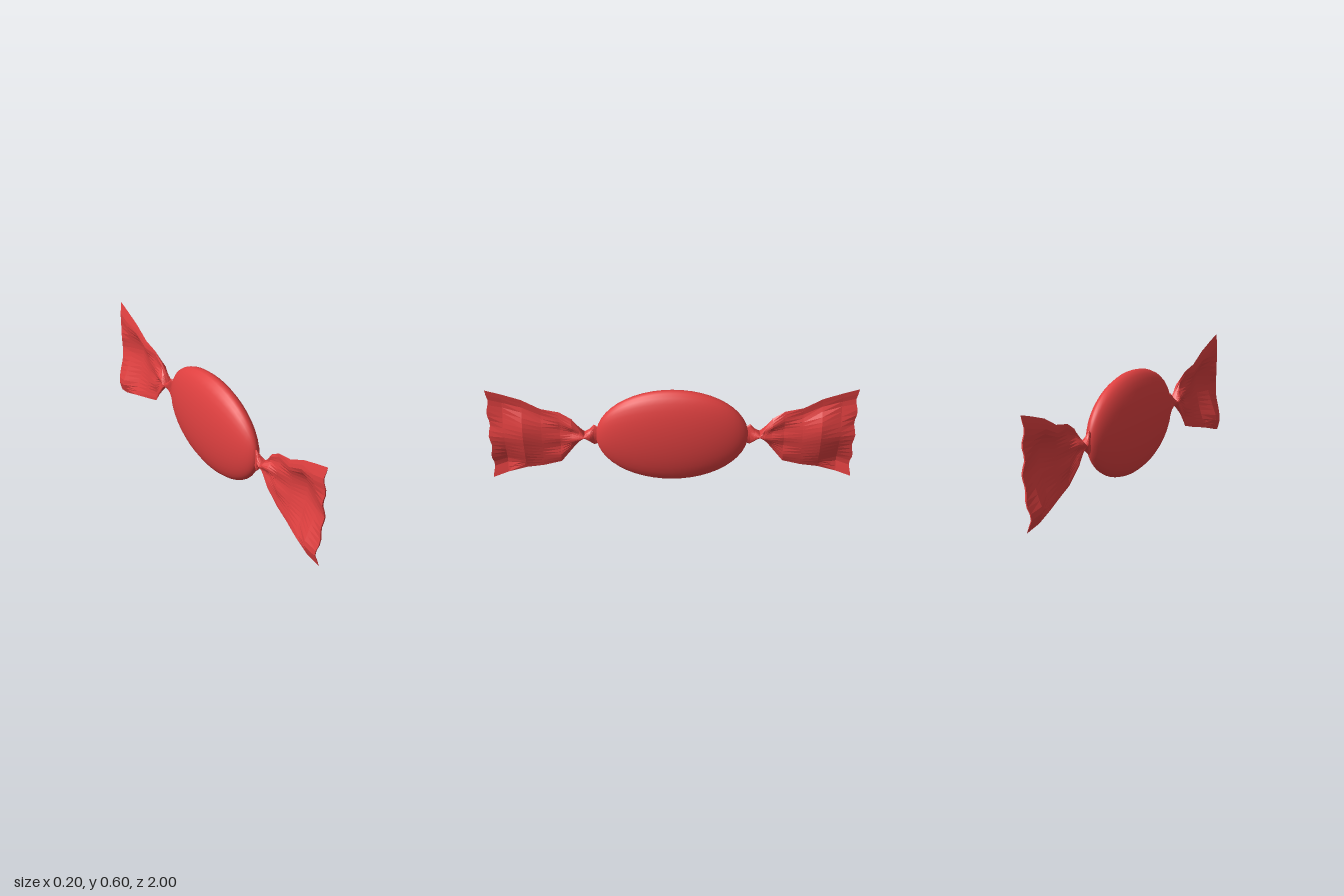
import * as THREE from 'three';

const RED = 0xe04040;
const MID = 0.303;

// Wrapper stations: z, bottom y, top y, half thickness, sideways folds from bottom to top
const STATIONS = [
  [0.39, 0.26, 0.35, 0.006, [0, 0]],
  [0.425, 0.238, 0.37, 0.012, [-0.008, 0, -0.008]],
  [0.45, 0.27, 0.338, 0.026, [0.004, 0, -0.008]],
  [0.478, 0.296, 0.316, 0.034, [0, -0.002, 0]],
  [0.505, 0.262, 0.357, 0.028, [-0.012, 0.004, -0.006, 0.004]],
  [0.545, 0.205, 0.412, 0.018, [-0.02, -0.006, 0.006, -0.01, 0.012, 0]],
  [0.61, 0.125, 0.455, 0.008, [-0.006, 0.003, -0.005, 0.004, -0.004, 0.004, -0.002]],
  [0.71, 0.092, 0.477, 0.005, [-0.014, -0.005, 0.003, 0.01, 0.016, 0.015, 0.008, -0.008, -0.003]],
  [0.81, 0.066, 0.535, 0.004, [-0.03, -0.012, 0.008, 0.022, 0.034, 0.036, 0.022, -0.01, -0.004]],
  [0.915, 0.03, 0.573, 0.004, [-0.035, -0.053, -0.03, -0.005, 0.012, 0.008, -0.005, -0.014, -0.002]],
  [0.995, 0.003, 0.6, 0.004, [-0.02, -0.04, -0.02, -0.01, 0, -0.01, -0.004, -0.012, 0]],
];

// Thin closed loops joined from the body outwards; dir is +1 (front) or -1 (back)
function wrapperEnd(dir) {
  const COLS = 18, RING = COLS * 2, pos = [], index = [];
  STATIONS.forEach(([z, lo, hi, thick, folds], s) => {
    const fold = new THREE.SplineCurve(
      folds.map((x, i) => new THREE.Vector2(i / (folds.length - 1), x)));
    for (let i = 0; i < RING; i++) {
      const side = i < COLS ? 1 : -1;
      const v = i < COLS ? i / COLS : (RING - i) / COLS;
      const round = Math.sqrt(Math.max(0, 1 - (2 * v - 1) ** 2));
      const x = fold.getPoint(v).y + side * thick * round;
      // the free edge ripples slightly
      const ripple = s === STATIONS.length - 1 ? 0.006 * Math.cos(v * Math.PI * 8) - 0.001 : 0;
      pos.push(x, lo + (hi - lo) * v, dir * (z + ripple));
    }
  });
  const tri = (a, b, c) => (dir > 0 ? index.push(a, b, c) : index.push(a, c, b));
  for (let s = 0; s < STATIONS.length - 1; s++) {
    for (let i = 0; i < RING; i++) {
      const a = s * RING + i, b = s * RING + ((i + 1) % RING);
      tri(a, b, b + RING);
      tri(a, b + RING, a + RING);
    }
  }
  // close the free edge
  const last = (STATIONS.length - 1) * RING;
  for (let i = 0; i < COLS; i++) {
    const a = last + i, b = a + 1;
    const c = last + RING - i - 1, d = last + ((RING - i) % RING);
    if (i < COLS - 1) tri(a, b, c);
    if (i > 0) tri(a, c, d);
  }
  const geo = new THREE.BufferGeometry();
  geo.setAttribute('position', new THREE.Float32BufferAttribute(pos, 3));
  geo.setIndex(index);
  geo.computeVertexNormals();
  return geo;
}

export function createModel() {
  const group = new THREE.Group();
  group.name = 'wrappedCandy';

  // flattened oval sweet
  const bodyGeo = new THREE.SphereGeometry(1, 32, 24);
  bodyGeo.rotateX(Math.PI / 2);
  bodyGeo.scale(0.1, 0.291, 0.415);
  const body = new THREE.Mesh(bodyGeo, new THREE.MeshStandardMaterial({ color: RED }));
  body.name = 'candyBody';
  body.position.y = MID;
  group.add(body);

  // twisted, creased wrapper ends
  const paper = new THREE.MeshStandardMaterial({
    color: RED, side: THREE.DoubleSide, flatShading: true,
  });
  for (const [name, dir] of [['frontWrapperEnd', 1], ['backWrapperEnd', -1]]) {
    const end = new THREE.Mesh(wrapperEnd(dir), paper);
    end.name = name;
    group.add(end);
  }
  return group;
}
